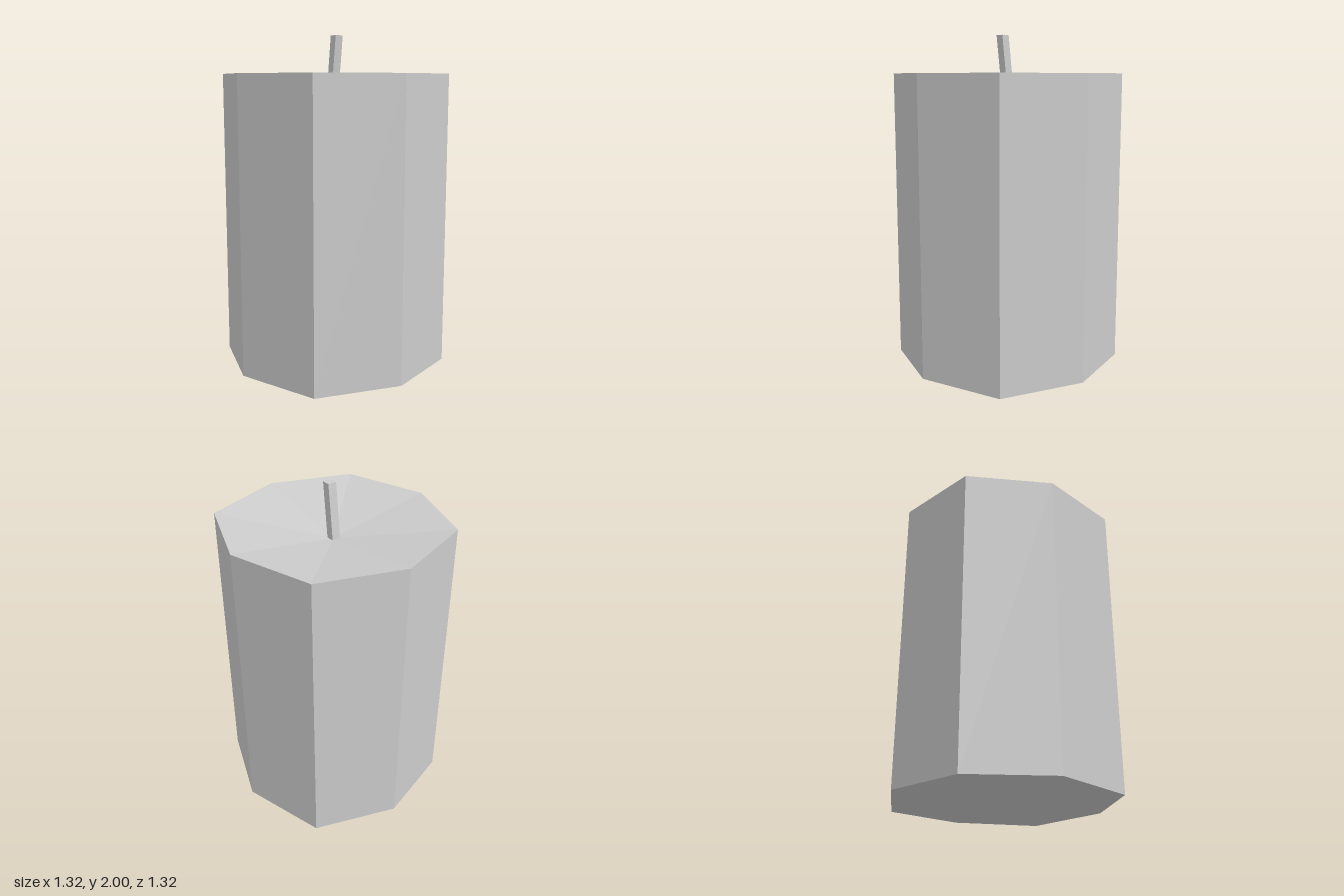
import * as THREE from 'three';

const RIM = 1.775;    // height of the outer rim
const DISH = 1.67;    // height of the sunken top centre
const AXIS_R = 0.66;  // radius of the corners on the x and z axes
const DIAG = 0.49;    // x and z of the diagonal corners

// Eight-sided block with a dished top and a very slightly uneven base
function makeBody() {
  const geo = new THREE.CylinderGeometry(1, 1, 2, 8, 1);
  const p = geo.attributes.position;
  for (let i = 0; i < p.count; i++) {
    const x = p.getX(i), y = p.getY(i), z = p.getZ(i);
    const top = y > 0;
    if (Math.hypot(x, z) < 0.01) {
      p.setXYZ(i, 0, top ? DISH : 0.004, 0);
    } else if (Math.abs(x * z) > 0.1) {
      p.setXYZ(i, Math.sign(x) * DIAG, top ? RIM : 0, Math.sign(z) * DIAG);
    } else {
      p.setXYZ(i, x * AXIS_R, top ? RIM : 0.008, z * AXIS_R);
    }
  }
  const flat = geo.toNonIndexed();
  flat.computeVertexNormals();
  return flat;
}

// Square wick, sheared so that its tip leans forward
function makeWick() {
  const height = 2 - DISH;
  const geo = new THREE.BoxGeometry(0.052, height, 0.05);
  geo.translate(0, DISH + height / 2, 0);
  const p = geo.attributes.position;
  for (let i = 0; i < p.count; i++) {
    const t = (p.getY(i) - DISH) / height;
    p.setZ(i, p.getZ(i) - 0.005 + 0.04 * t);
  }
  geo.computeVertexNormals();
  return geo;
}

export function createModel() {
  const model = new THREE.Group();
  model.name = 'candle';
  const wax = new THREE.MeshStandardMaterial({ color: 0xcccccc });
  wax.name = 'pale grey';
  wax.flatShading = true;

  const body = new THREE.Mesh(makeBody(), wax);
  body.name = 'waxBody';
  const wick = new THREE.Mesh(makeWick(), wax);
  wick.name = 'wick';
  model.add(body, wick);
  return model;
}
